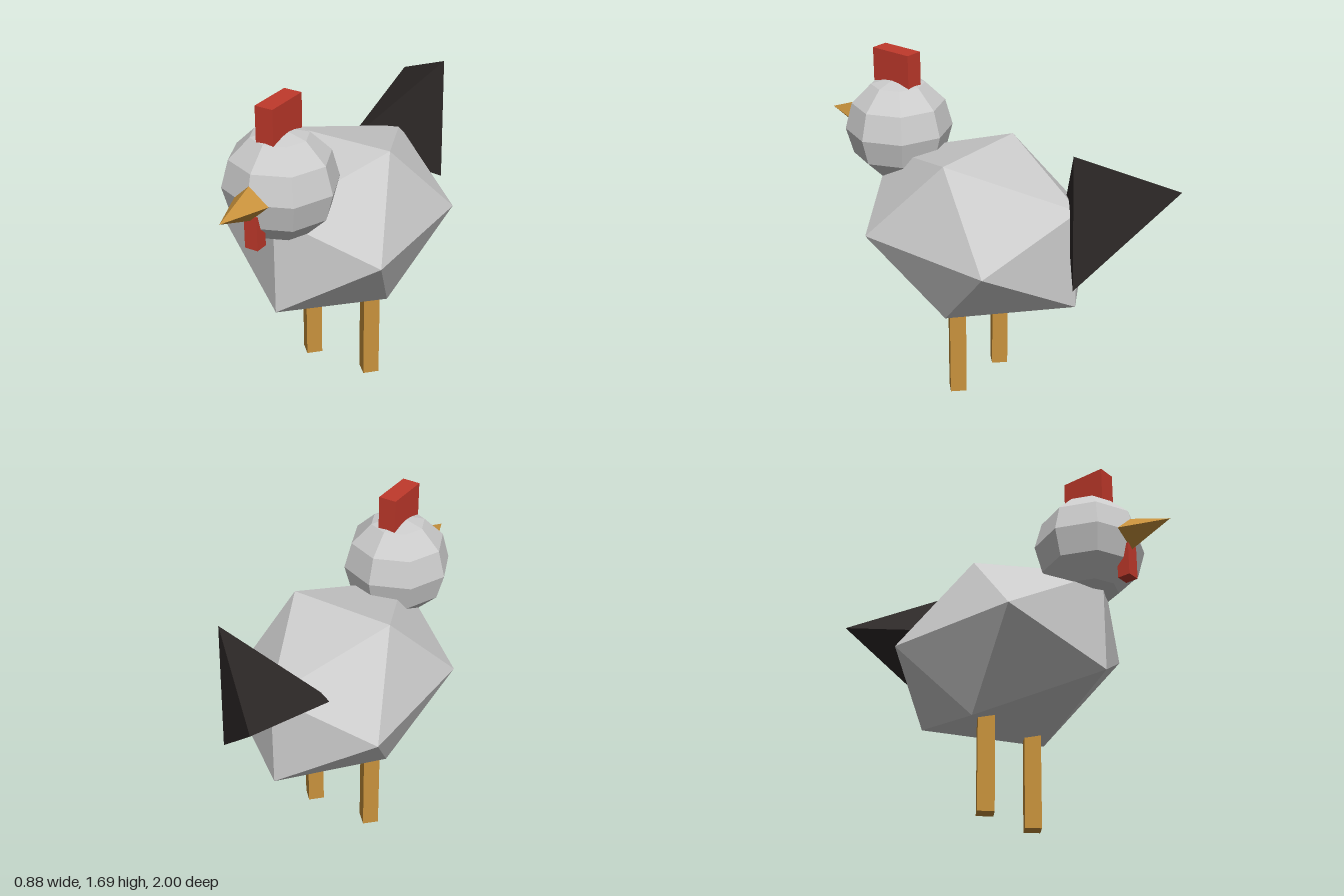
import * as THREE from 'three';
import { ConvexGeometry } from 'three/addons/geometries/ConvexGeometry.js';

export function createModel() {
  const group = new THREE.Group();
  const material = (color) => new THREE.MeshStandardMaterial({ color, flatShading: true });
  const grey = material(0xcccccc);
  const orange = material(0xc8923c);
  const red = material(0xc0392b);
  const dark = material(0x2e2928);

  const add = (name, geometry, mat, x, y, z) => {
    const mesh = new THREE.Mesh(geometry, mat);
    mesh.name = name;
    mesh.position.set(x, y, z);
    group.add(mesh);
    return mesh;
  };

  // Faceted body, stretched front to back
  const body = new THREE.IcosahedronGeometry(1, 0).scale(0.517, 0.485, 0.697);
  add('body', body, grey, 0, 0.873, 0.012);

  // Low-poly head
  const head = new THREE.SphereGeometry(1, 8, 6).scale(0.275, 0.267, 0.27);
  add('head', head, grey, 0, 1.282, 0.531);

  // Comb on top, wattle under the beak
  add('comb', new THREE.BoxGeometry(0.092, 0.235, 0.23), red, 0, 1.568, 0.535);
  add('wattle', new THREE.BoxGeometry(0.068, 0.17, 0.065), red, 0, 1.135, 0.747);

  // Four-sided beak pointing forward
  const beak = new THREE.ConeGeometry(0.1, 0.26, 4).rotateX(Math.PI / 2);
  add('beak', beak, orange, 0, 1.28, 0.87);

  // Square legs turned edge-on, one each side
  for (const side of [1, -1]) {
    const leg = new THREE.CylinderGeometry(0.058, 0.058, 0.58, 4);
    add(side > 0 ? 'leftLeg' : 'rightLeg', leg, orange, side * 0.174, 0.29, 0.015);
  }

  // Tail: a tetrahedron with one upright edge and one edge sloping into the body
  const tail = new ConvexGeometry([
    new THREE.Vector3(0.2, 0.332, 0.011),
    new THREE.Vector3(0.2, -0.332, -0.011),
    new THREE.Vector3(-0.2, 0.108, -0.315),
    new THREE.Vector3(-0.2, -0.108, 0.315),
  ]);
  add('tail', tail, dark, 0, 1.165, -0.685);

  return group;
}
